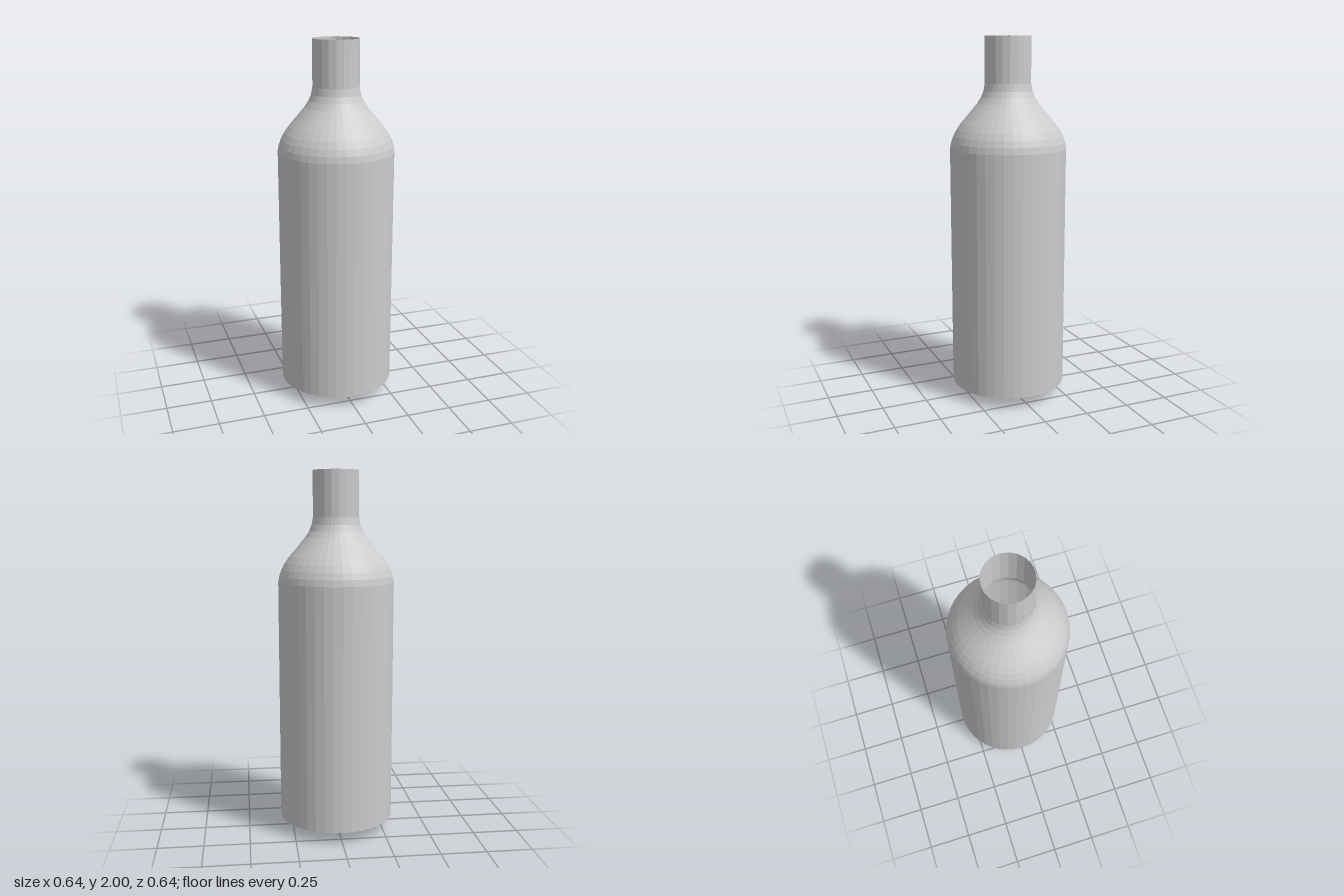
import * as THREE from 'three';

export function createModel() {
  const model = new THREE.Group();
  model.name = 'bottle';

  const grey = new THREE.MeshStandardMaterial({ color: 0xcccccc, flatShading: true, side: THREE.DoubleSide });
  grey.name = 'plain grey';

  // Revolves a profile of [radius, height] points around the y axis
  function revolve(name, profile, sides) {
    const points = profile.map(([r, y]) => new THREE.Vector2(r, y));
    const mesh = new THREE.Mesh(new THREE.LatheGeometry(points, sides), grey);
    mesh.name = name;
    model.add(mesh);
  }

  // Shallow pointed underside
  revolve('base', [[0, 0], [0.04, 0.014], [0.09, 0.03], [0.15, 0.045], [0.21, 0.056], [0.27, 0.063], [0.318, 0.065]], 40);

  // Straight cylindrical wall
  revolve('body', [[0.318, 0.065], [0.318, 1.4]], 40);

  // S-curved shoulder narrowing to the neck
  revolve('shoulder', [
    [0.318, 1.4], [0.312, 1.435], [0.299, 1.47], [0.28, 1.505], [0.255, 1.54], [0.225, 1.575],
    [0.195, 1.61], [0.168, 1.643], [0.147, 1.676], [0.133, 1.71], [0.126, 1.75],
  ], 40);

  // Thin neck, open at the top
  revolve('neck', [[0.126, 1.75], [0.126, 2]], 20);

  return model;
}
